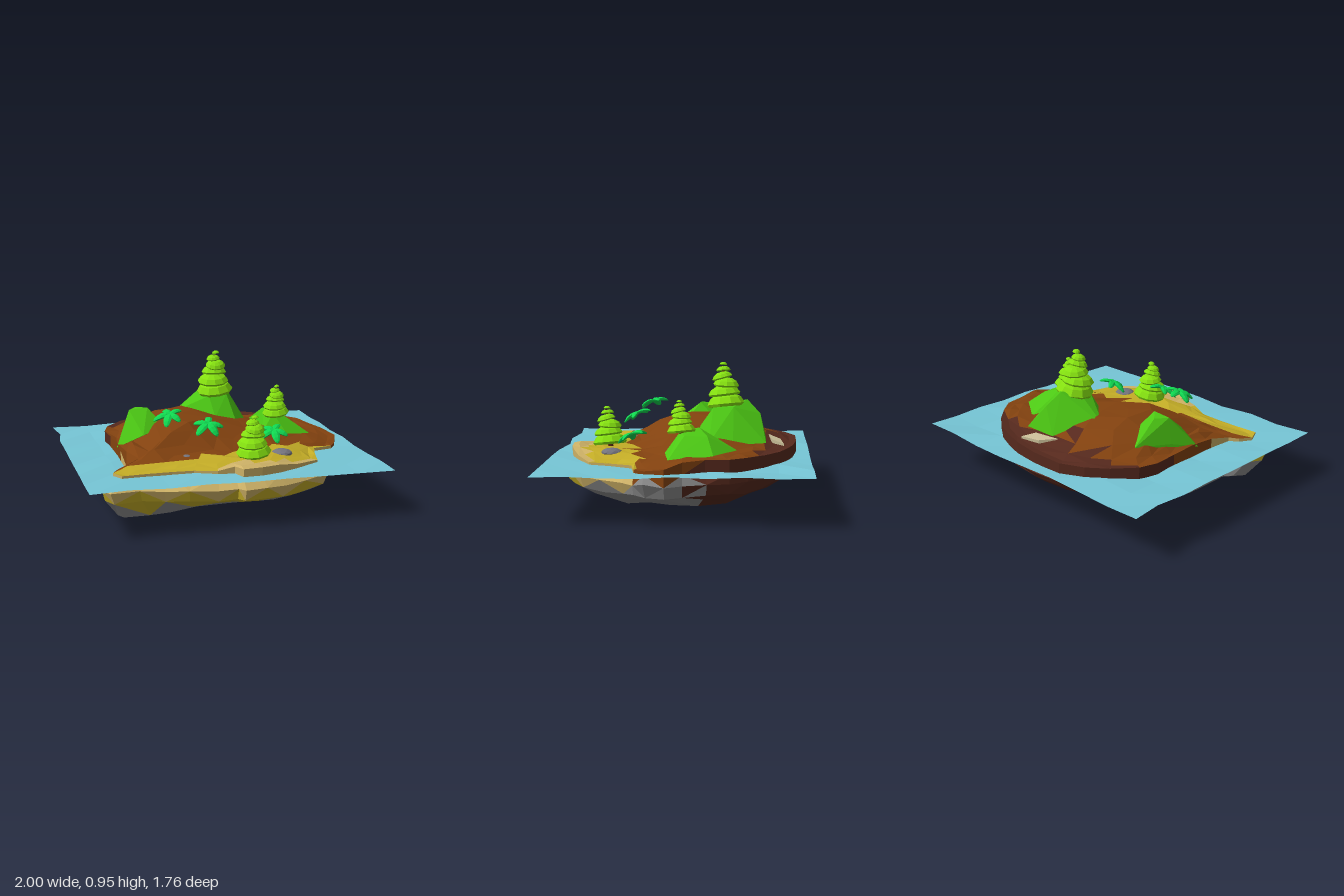
import * as THREE from 'three';
import { ConvexGeometry } from 'three/addons/geometries/ConvexGeometry.js';

const { smoothstep, lerp, clamp } = THREE.MathUtils;
const mat = (color, side = THREE.FrontSide) => new THREE.MeshStandardMaterial({ color, flatShading: true, side });
const COLORS = { earth: 0x83420f, darkEarth: 0x56291d, sand: 0xc4ad26, paleSand: 0xcdb166, stone: 0x8a8a8a };
const noise = (a, b) => { const s = Math.sin(a * 12.99 + b * 78.23) * 43758.55; return (s - Math.floor(s)) * 2 - 1; };

function add(parent, name, geometry, material, x = 0, y = 0, z = 0) {
  const mesh = new THREE.Mesh(geometry, material);
  mesh.name = name;
  mesh.position.set(x, y, z);
  parent.add(mesh);
  return mesh;
}

// Shoreline (x, z), clockwise from the back
const SHORE = [
  [-0.24, -0.79], [0, -0.79], [0.2, -0.76], [0.33, -0.72], [0.46, -0.67], [0.6, -0.57], [0.7, -0.46], [0.78, -0.35],
  [0.8, -0.2], [0.85, -0.06], [0.92, 0.05], [0.86, 0.18], [0.81, 0.25], [0.67, 0.28], [0.62, 0.42], [0.58, 0.57],
  [0.4, 0.67], [0.26, 0.73], [0.13, 0.76], [0, 0.77], [-0.03, 0.68], [-0.14, 0.67], [-0.28, 0.6], [-0.42, 0.59],
  [-0.58, 0.59], [-0.75, 0.6], [-0.79, 0.51], [-0.74, 0.43], [-0.68, 0.39], [-0.68, 0.2], [-0.67, 0.02], [-0.68, -0.18],
  [-0.69, -0.35], [-0.65, -0.48], [-0.53, -0.62], [-0.4, -0.72],
];
// The seabed rim fills the bays of the shoreline
const SEABED = SHORE.map(([x, z], i) => {
  let mean = 0;
  for (let d = -3; d <= 3; d++) mean += Math.hypot(...SHORE[(i + d + 36) % 36]) / 7;
  const k = Math.max(1, mean / Math.hypot(x, z));
  return [x * k, z * k];
});
// Rings [scale, height]; no height means the ring lies on the land surface
const RINGS = [
  [0], [0.28], [0.45], [0.6], [0.74], [0.86], [0.94], [1],
  [1, 0.3], [1.01, 0.235], [0.98, 0.16], [0.88, 0.075], [0.7, 0.035], [0.42, 0.03], [0, 0.03],
];
const WATERLINE = 8;
const sandEdge = (x) => 0.37 - 0.17 * x;

function landHeight(x, z, t) {
  const rise = clamp(0.13 - 0.22 * x, 0.03, 0.155);
  const hill = 0.39 + rise * (1 - smoothstep(t, 0.42, 0.97));
  // The beach runs out flat, except for a raised lobe in the middle
  const lobe = smoothstep(x, -0.2, 0.02) * (1 - smoothstep(x, 0.25, 0.5));
  const beach = 0.362 - lerp(0.037, 0.002, lobe) * smoothstep(t, 0.7, 1);
  const edge = sandEdge(x);
  return lerp(hill, beach, smoothstep(z, edge - 0.36, edge - 0.04));
}

function islandPoint(r, index) {
  const [scale, height] = RINGS[r];
  // Inner rings use fewer corners
  const i = index - index % (scale < 0.3 ? 4 : scale < 0.5 ? 3 : scale < 0.8 ? 2 : 1);
  if (r <= WATERLINE) {
    const x = SHORE[i][0] * scale, z = SHORE[i][1] * scale;
    const bump = scale < 1 ? 0.015 * scale * noise(r, i) : 0;
    return new THREE.Vector3(x, height ?? landHeight(x, z, scale) + bump, z);
  }
  // The beach side spreads under water, the outer bottom rises towards the rim and dips on the right
  const [sx, sz] = SEABED[i];
  const wobble = scale > 0 ? 0.016 * noise(r, i) : 0;
  const spread = (0.07 + 0.035 * smoothstep(-sx, 0.2, 0.6)) * smoothstep(sz, 0.1, 0.5);
  const k = scale * (1 + spread) + wobble;
  const x = sx * k, z = sz * k;
  const lift = height < 0.1
    ? 0.08 * smoothstep(-z, 0.25, 0.7) + 0.05 * smoothstep(z, 0.35, 0.7) * smoothstep(x, -0.6, -0.1)
      + 0.05 * smoothstep(x, 0.4, 0.8) - 0.035 * smoothstep(-x, 0.2, 0.55) * smoothstep(z, -0.35, 0)
    : 0.06 * smoothstep(-z, 0.4, 0.8) * (height < 0.2 ? 1 : 0.4);
  return new THREE.Vector3(x, Math.max(0, height + lift + 0.7 * wobble), z);
}

function islandColor(c, r) {
  const n = noise(c.x, c.z);
  if (r < WATERLINE) {
    if (c.z > sandEdge(c.x) - 0.01) return c.z + 0.04 * n > 0.6 && c.x > -0.15 ? 'paleSand' : 'sand';
    return c.z + 0.08 * n < -0.55 ? 'darkEarth' : 'earth';
  }
  if (c.z < -0.13 + 0.05 * n) return 'darkEarth';
  if (c.y < 0.12 || (c.x > 0.5 && c.y < 0.2)) return 'stone';
  if (c.z > 0.24) return c.y > 0.2 ? 'paleSand' : 'sand';
  return c.y > 0.26 ? 'earth' : 'stone';
}

// Land and seabed in one skin, sorted into meshes by ground type
function buildIsland() {
  const island = new THREE.Group();
  island.name = 'island';
  const faces = Object.fromEntries(Object.keys(COLORS).map((k) => [k, []]));
  const put = (r, p, q, s) => {
    if (new THREE.Triangle(p, q, s).getArea() < 1e-7) return;
    const c = new THREE.Vector3().add(p).add(q).add(s).divideScalar(3);
    faces[islandColor(c, r)].push(p, q, s);
  };
  for (let r = 0; r < RINGS.length - 1; r++) {
    for (let i = 0; i < SHORE.length; i++) {
      const j = (i + 1) % SHORE.length;
      const a = islandPoint(r, i), b = islandPoint(r + 1, i);
      const c = islandPoint(r + 1, j), d = islandPoint(r, j);
      if ((r + i) % 2) { put(r + 1, a, d, c); put(r + 1, a, c, b); }
      else { put(r + 1, a, d, b); put(r + 1, d, c, b); }
    }
  }
  for (const [name, points] of Object.entries(faces)) {
    const geometry = new THREE.BufferGeometry().setFromPoints(points);
    geometry.computeVertexNormals();
    add(island, name, geometry, mat(COLORS[name]));
  }
  return island;
}

// Gently rippled sheet with a few notches in its rim, rougher towards the back
function buildWater() {
  const geometry = new THREE.PlaneGeometry(2, 1.76, 8, 8).rotateX(-Math.PI / 2);
  const p = geometry.attributes.position;
  for (let k = 0; k < p.count; k++) {
    const x = p.getX(k), z = p.getZ(k);
    p.setY(k, 0.303 + 0.01 * (1 + noise(k, 3)) * (0.85 - 0.6 * z));
    if (z > 0.87 && (x === -0.75 || x === -0.25)) p.setZ(k, 0.85);
    if (x < -0.99 && Math.abs(z + 0.66) < 0.01) p.setX(k, -0.97);
  }
  geometry.computeVertexNormals();
  return new THREE.Mesh(geometry, mat(0x76c6d6, THREE.DoubleSide));
}

// Grassy mounds: base points followed by crest points
const MOUNDS = [
  [[-0.19, 0.5, -0.34], [-0.05, 0.45, -0.45], [0.05, 0.42, -0.58], [0.3, 0.42, -0.58], [0.34, 0.41, -0.36], [0.33, 0.42, -0.2],
    [0.22, 0.46, -0.11], [0.07, 0.49, -0.12], [0, 0.63, -0.33], [0.05, 0.63, -0.22], [0.18, 0.64, -0.22], [0.22, 0.65, -0.36],
    [0.1, 0.69, -0.45], [0.15, 0.6, -0.54]],
  [[0.34, 0.4, -0.3], [0.47, 0.38, -0.42], [0.7, 0.38, -0.25], [0.74, 0.36, 0.05], [0.55, 0.37, 0.09], [0.39, 0.4, 0],
    [0.43, 0.54, -0.14], [0.47, 0.52, -0.02], [0.55, 0.5, -0.05], [0.55, 0.5, -0.2]],
  [[-0.5, 0.44, -0.36], [-0.36, 0.48, -0.22], [-0.33, 0.48, 0], [-0.5, 0.45, 0.09], [-0.68, 0.37, 0.06], [-0.6, 0.42, -0.12],
    [-0.56, 0.59, -0.1], [-0.43, 0.6, -0.1], [-0.5, 0.59, -0.18]],
];

// Conifer of stacked, slightly tilted skirts
function buildConifer(height, radius) {
  const tree = new THREE.Group();
  tree.name = 'conifer';
  add(tree, 'trunk', new THREE.CylinderGeometry(0.012, 0.02, height, 6), mat(0x5a2a10), 0, height * 0.4, 0);
  const profile = [[0, 0.25], [0.92, 0], [1, 0.2], [0.8, 0.65], [0.45, 0.95], [0, 1]].map(([x, y]) => new THREE.Vector2(x, y));
  const tiers = [[0.06, 1, 0.29], [0.29, 0.86, 0.21], [0.48, 0.7, 0.18], [0.65, 0.55, 0.14], [0.8, 0.38, 0.1], [0.93, 0.2, 0.06]];
  tiers.forEach(([y, r, h], k) => {
    const a = k * 2.4;
    const tier = add(tree, 'foliageTier', new THREE.LatheGeometry(profile, 10), mat(0x84e010),
      0.08 * radius * Math.cos(a), y * height, 0.08 * radius * Math.sin(a));
    tier.scale.set(r * radius, h * height, r * radius);
    tier.rotation.set(0.14 * Math.sin(a), a, 0.14 * Math.cos(a));
  });
  return tree;
}

// Crown of five drooping fronds
function buildFrondCrown() {
  const crown = new THREE.Group();
  crown.name = 'palmCrown';
  const leaf = new THREE.SphereGeometry(1, 7, 6).rotateZ(Math.PI / 2).scale(0.056, 0.014, 0.026).translate(0.05, 0, 0);
  const p = leaf.attributes.position;
  for (let k = 0; k < p.count; k++) p.setY(k, p.getY(k) + 0.2 * p.getX(k) - 4 * p.getX(k) ** 2);
  leaf.computeVertexNormals();
  for (let k = 0; k < 5; k++) {
    const frond = add(crown, 'frond', leaf, mat(0x10d850, THREE.DoubleSide));
    frond.rotation.y = k * Math.PI * 0.4 + 0.25 * noise(k, 2);
    frond.scale.setScalar(1 + 0.12 * noise(k, 5));
  }
  return crown;
}

export function createModel() {
  const model = new THREE.Group();
  model.name = 'lowPolyIsland';
  model.add(buildIsland());
  const water = buildWater();
  water.name = 'water';
  model.add(water);

  for (const points of MOUNDS) {
    add(model, 'grassMound', new ConvexGeometry(points.map((q) => new THREE.Vector3(...q))), mat(0x4cc814));
  }
  for (const [x, y, z, h, r] of [[0.11, 0.62, -0.31, 0.33, 0.13], [0.485, 0.5, -0.03, 0.23, 0.095], [0.15, 0.36, 0.49, 0.285, 0.118]]) {
    const tree = buildConifer(h, r);
    tree.position.set(x, y, z);
    tree.rotation.x = 0.1;
    model.add(tree);
  }
  for (const [x, y, z, turn] of [[-0.35, 0.62, 0.24, 0.3], [-0.11, 0.56, 0.33, 1.1], [0.36, 0.48, 0.31, 0.7]]) {
    const crown = buildFrondCrown();
    crown.position.set(x, y, z);
    crown.rotation.set(0.2, turn, 0.25);
    model.add(crown);
  }

  // Beach rocks and a pale slab at the back
  for (const [x, z, r] of [[0.37, 0.45, 0.072], [-0.27, 0.37, 0.032]]) {
    add(model, 'rock', new THREE.IcosahedronGeometry(r, 1), mat(0x74747e), x, 0.357, z).scale.y = 0.4;
  }
  const slab = [[-0.02, 0.4, -0.6], [0.08, 0.39, -0.68], [0.23, 0.39, -0.7], [0.17, 0.4, -0.62],
    [-0.02, 0.432, -0.6], [0.08, 0.415, -0.68], [0.23, 0.405, -0.7], [0.17, 0.425, -0.62]];
  add(model, 'paleSlab', new ConvexGeometry(slab.map((q) => new THREE.Vector3(...q))), mat(0xc8bd96));
  return model;
}
